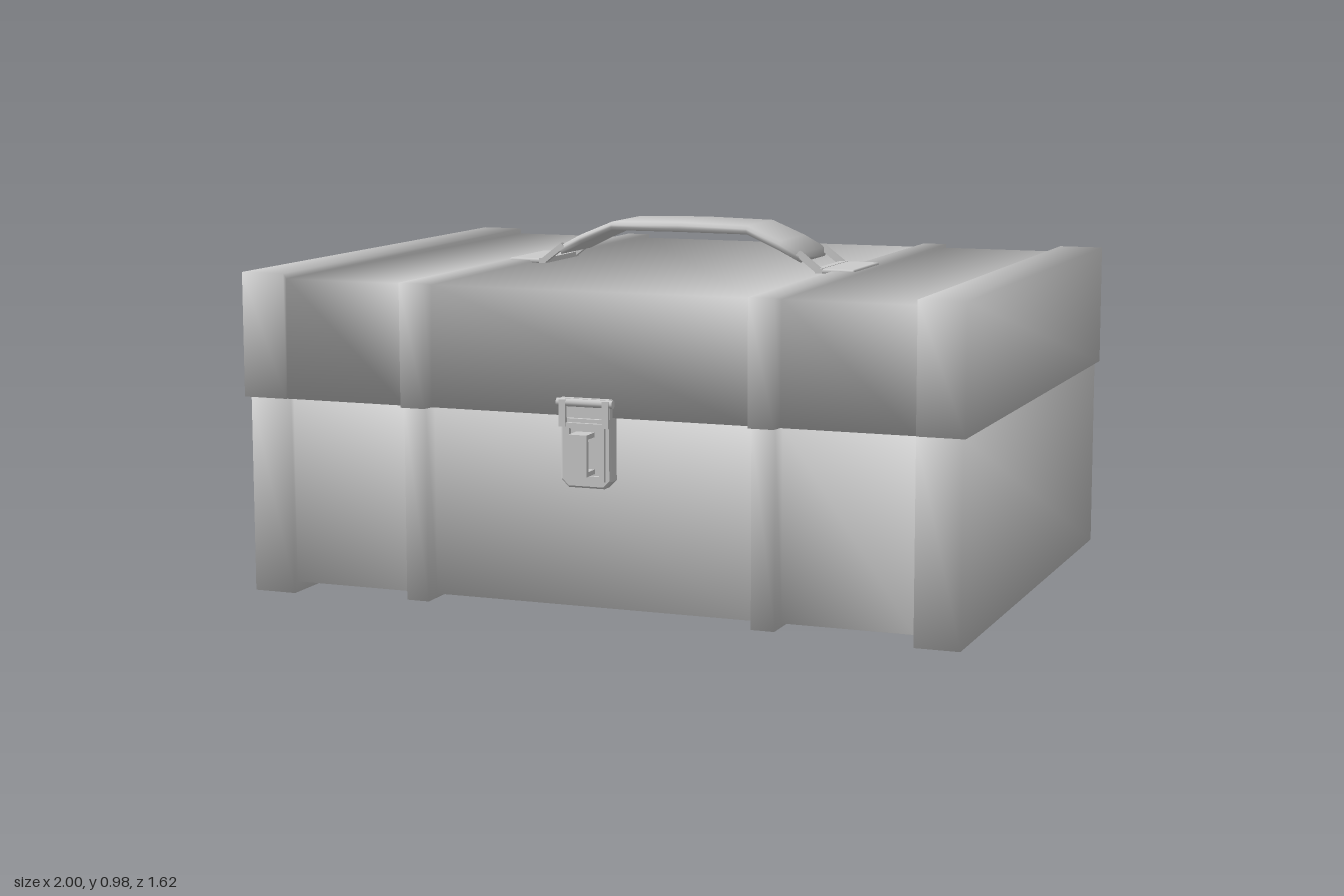
import * as THREE from 'three';
import { RoundedBoxGeometry } from 'three/addons/geometries/RoundedBoxGeometry.js';

const grey = new THREE.MeshStandardMaterial({ color: 0xcccccc });

function add(parent, name, geometry, x = 0, y = 0, z = 0) {
  const mesh = new THREE.Mesh(geometry, grey);
  mesh.name = name;
  mesh.position.set(x, y, z);
  parent.add(mesh);
  return mesh;
}

function polygon(points) {
  return new THREE.Shape(points.map(([a, b]) => new THREE.Vector2(a, b)));
}

// Smooth normals: each face counts by its angle at the shared corner.
function smoothNormals(points, index) {
  const normals = points.map(() => new THREE.Vector3());
  for (let t = 0; t < index.length; t += 3) {
    const ids = index.slice(t, t + 3);
    const [a, b, c] = ids.map((i) => points[i]);
    const face = new THREE.Triangle(a, b, c).getNormal(new THREE.Vector3());
    ids.forEach((id, k) => {
      const to1 = points[ids[(k + 1) % 3]].clone().sub(points[id]);
      const to2 = points[ids[(k + 2) % 3]].clone().sub(points[id]);
      normals[id].addScaledVector(face, to1.angleTo(to2));
    });
  }
  return normals.map((n) => n.normalize());
}

// Closed skin over stations [x, ring] running towards +x; a ring is a loop of [z, y].
function loft(stations) {
  const n = stations[0][1].length;
  const points = stations.flatMap(([x, ring]) => ring.map(([z, y]) => new THREE.Vector3(x, y, z)));
  const index = [];
  for (let i = 0; i < stations.length - 1; i++) {
    for (let j = 0; j < n; j++) {
      const a = i * n + j, b = i * n + (j + 1) % n;
      index.push(a, a + n, b, b, a + n, b + n);
    }
  }
  const last = (stations.length - 1) * n;
  for (let j = 1; j < n - 1; j++) {
    index.push(0, j, j + 1, last, last + j + 1, last + j);
  }
  const geometry = new THREE.BufferGeometry().setFromPoints(points);
  const normals = smoothNormals(points, index).flatMap((v) => v.toArray());
  geometry.setAttribute('normal', new THREE.Float32BufferAttribute(normals, 3));
  geometry.setIndex(index);
  return geometry;
}

// Adds the mirrored left half to stations given from the middle outwards.
function mirrored(half) {
  return [...half.map(([x, ring]) => [-x, ring]).reverse(), ...half];
}

// Box half: panel, strap, panel, end band, with upright steps between them.
function caseHalf(panel, strap, band, inner, outer, bandStart, end) {
  return loft(mirrored([
    [inner, panel], [inner + 0.005, strap], [outer - 0.005, strap], [outer, panel],
    [bandStart - 0.002, panel], [bandStart, band], [end, band],
  ]));
}

const rect = (zBack, zFront, y0, y1) => [[zBack, y0], [zFront, y0], [zFront, y1], [zBack, y1]];

function chamferedRect(z, y0, y1, c) {
  return [[-z + c, y0], [z - c, y0], [z, y0 + c], [z, y1 - c],
    [z - c, y1], [-z + c, y1], [-z, y1 - c], [-z, y0 + c]];
}

// Rectangular frame lying in the xy plane, extruded along z.
function frame(w, h, border, depth) {
  const r = (a, b) => [[-a, -b], [a, -b], [a, b], [-a, b]];
  const shape = polygon(r(w / 2, h / 2));
  shape.holes.push(polygon(r(w / 2 - border, h / 2 - border)));
  return new THREE.ExtrudeGeometry(shape, { depth, bevelEnabled: false });
}

function buildCase(group) {
  add(group, 'base', caseHalf(
    rect(-0.742, 0.717, 0.03, 0.535),
    rect(-0.783, 0.76, 0.017, 0.535),
    rect(-0.755, 0.73, 0, 0.535),
    0.447, 0.52, 0.87, 0.99));
  add(group, 'lid', caseHalf(
    [[-0.772, 0.535], [0.743, 0.535], [0.735, 0.857], [-0.765, 0.857]],
    rect(-0.808, 0.778, 0.535, 0.864),
    rect(-0.777, 0.748, 0.535, 0.872),
    0.443, 0.522, 0.875, 1));
}

function buildHandle(group) {
  const handle = new THREE.Group();
  handle.name = 'handle';
  handle.position.z = -0.018;
  group.add(handle);

  // arched grip, as [x, underside, top]
  const arch = [[0, 0.957, 0.984], [0.2, 0.956, 0.98], [0.295, 0.914, 0.941], [0.355, 0.884, 0.909]];
  const half = arch.map(([x, y0, y1]) => [x, chamferedRect(0.117, y0, y1, 0.009)]);
  add(handle, 'grip', loft([...mirrored(half.slice(1)).slice(0, 3), ...half]));

  for (const s of [-1, 1]) {
    // open loop joining the grip to a flat tab on the strap
    for (const z of [-0.108, 0.108]) {
      const bar = add(handle, 'loopSide', new THREE.BoxGeometry(0.085, 0.016, 0.018), s * 0.382, 0.884, z);
      bar.rotation.z = -s * 0.65;
    }
    add(handle, 'loopEnd', new THREE.BoxGeometry(0.02, 0.014, 0.234), s * 0.41, 0.864, 0);
    add(handle, 'tab', new RoundedBoxGeometry(0.105, 0.014, 0.234, 2, 0.006), s * 0.459, 0.863, 0);
  }
}

function buildLatch(group) {
  const latch = new THREE.Group();
  latch.name = 'latch';
  group.add(latch);

  // lower plate with clipped bottom corners
  const plate = polygon([[-0.05, 0.35], [0.05, 0.35], [0.07, 0.37], [0.07, 0.535], [-0.07, 0.535], [-0.07, 0.37]]);
  add(latch, 'latchPlate', new THREE.ExtrudeGeometry(plate, {
    depth: 0.035, bevelThickness: 0.005, bevelSize: 0.005, bevelOffset: -0.005, bevelSegments: 1,
  }), 0, 0, 0.715);
  add(latch, 'latchFrame', frame(0.11, 0.15, 0.014, 0.012), 0, 0.445, 0.754);

  // catch on the lid
  add(latch, 'catchPlate', new THREE.BoxGeometry(0.14, 0.05, 0.022), 0, 0.558, 0.75);
  const pin = add(latch, 'catchPin', new THREE.CylinderGeometry(0.011, 0.011, 0.155, 12), 0, 0.572, 0.758);
  pin.rotation.z = Math.PI / 2;
  for (const x of [-0.06, 0.06]) {
    add(latch, 'catchHook', new THREE.BoxGeometry(0.018, 0.07, 0.014), x, 0.545, 0.763);
  }

  // pull lever, a loop standing out from the plate
  add(latch, 'leverFront', new THREE.BoxGeometry(0.05, 0.108, 0.012), 0, 0.443, 0.803);
  for (const y of [0.395, 0.491]) {
    add(latch, 'leverArm', new THREE.BoxGeometry(0.05, 0.012, 0.05), 0, y, 0.778);
  }
}

export function createModel() {
  const group = new THREE.Group();
  group.name = 'carryCase';
  buildCase(group);
  buildHandle(group);
  buildLatch(group);
  return group;
}
